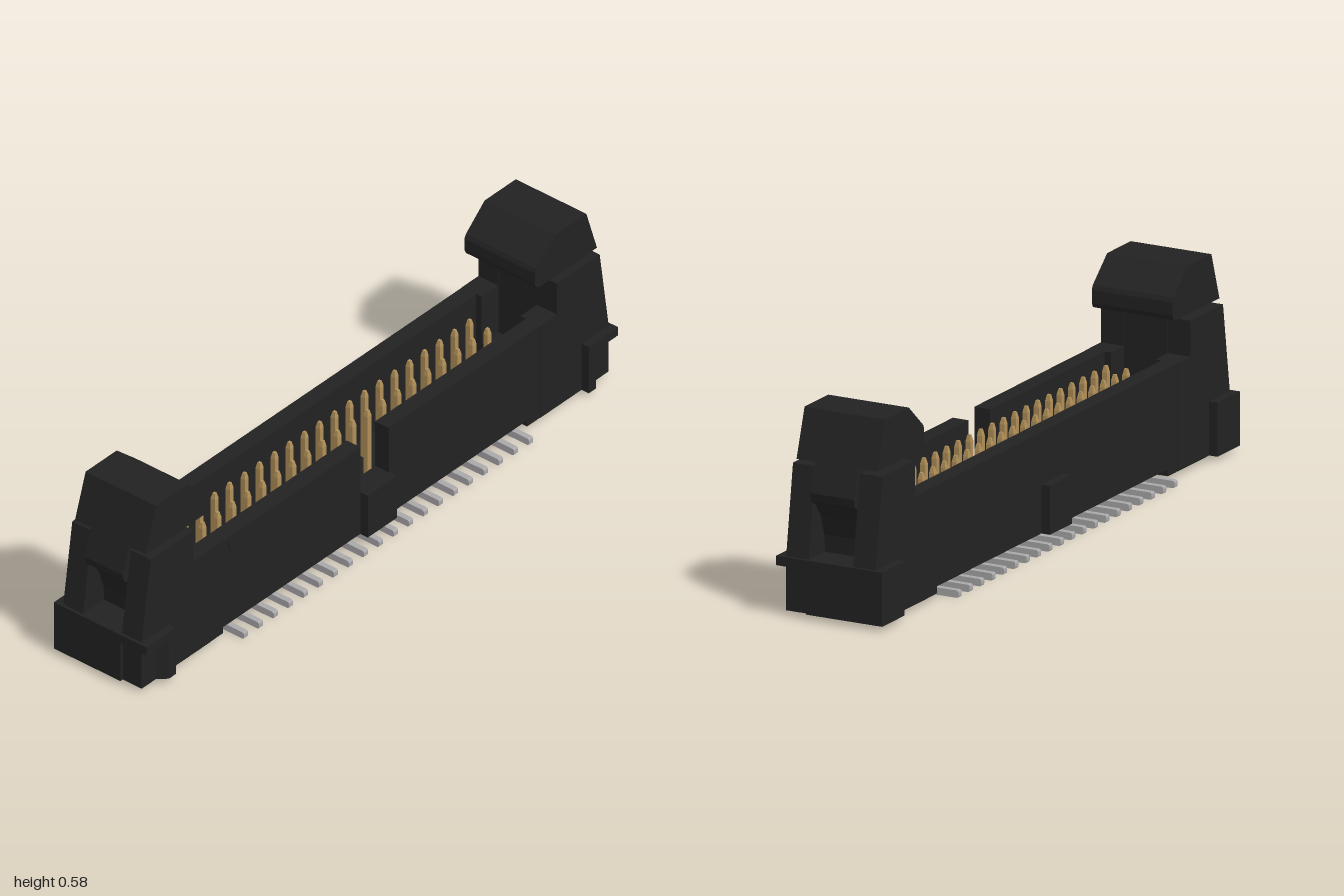
import * as THREE from 'three';

const black = new THREE.MeshStandardMaterial({ color: 0x222222 });
black.name = 'black plastic';
const gold = new THREE.MeshStandardMaterial({ color: 0xb08f58 });
gold.name = 'gold';
const tin = new THREE.MeshStandardMaterial({ color: 0xaaa8aa });
tin.name = 'tin';

export function createModel() {
  const model = new THREE.Group();
  model.name = 'latchedPinHeader';

  const add = (parent, name, geometry, material) => {
    const mesh = new THREE.Mesh(geometry, material);
    mesh.name = name;
    parent.add(mesh);
    return mesh;
  };
  const box = (parent, name, x0, x1, y0, y1, z0, z1, material = black) => {
    const g = new THREE.BoxGeometry(x1 - x0, y1 - y0, z1 - z0);
    g.translate((x0 + x1) / 2, (y0 + y1) / 2, (z0 + z1) / 2);
    return add(parent, name, g, material);
  };
  const extrude = (points, depth) => new THREE.ExtrudeGeometry(
    new THREE.Shape(points.map(([x, y]) => new THREE.Vector2(x, y))),
    { depth, bevelEnabled: false });
  // Side profile (x, y) extruded from z0 to z1
  const profile = (points, s, z0, z1) =>
    extrude(points.map(([x, y]) => [s * x, y]), z1 - z0).translate(0, 0, z0);
  // Plan outline (x, z) extruded from y0 to y1
  const plan = (points, s, y0, y1) =>
    extrude(points.map(([x, z]) => [s * x, -z]), y1 - y0).rotateX(-Math.PI / 2).translate(0, y0, 0);

  // Shrouded housing with the polarising slot in the front wall
  const housing = new THREE.Group();
  housing.name = 'housing';
  model.add(housing);
  box(housing, 'floor', -0.7, 0.7, 0.035, 0.1, -0.09, 0.09);
  box(housing, 'backWall', -0.7, 0.7, 0.035, 0.325, -0.14, -0.09);
  box(housing, 'frontWallLower', -0.7, 0.7, 0.035, 0.175, 0.09, 0.14);
  box(housing, 'frontWallUpper', -0.7, -0.06, 0.175, 0.325, 0.09, 0.14);
  box(housing, 'frontWallUpper', 0.06, 0.7, 0.175, 0.325, 0.09, 0.14);
  box(housing, 'frontKey', -0.062, 0.062, 0.035, 0.175, 0.14, 0.167);
  box(housing, 'backKey', -0.062, 0.062, 0.035, 0.175, -0.167, -0.14);
  add(housing, 'firstPinMark',
    profile([[-0.63, 0.32], [-0.61, 0.265], [-0.59, 0.32]], 1, 0.14, 0.142), black);

  // End towers, feet and latches
  const cheek = [[0.7, 0.015], [0.99, 0.015], [0.99, 0.17], [0.952, 0.428],
    [0.77, 0.428], [0.77, 0.325], [0.7, 0.325]];
  const arm = [[0.77, 0.16], [0.9, 0.16], [0.905, 0.22], [0.925, 0.28], [0.955, 0.32],
    [0.978, 0.335], [0.985, 0.36], [0.957, 0.445], [0.77, 0.445]];
  const head = [[0.77, 0.442], [0.957, 0.442], [0.912, 0.58], [0.78, 0.58], [0.7, 0.51],
    [0.694, 0.497], [0.694, 0.46], [0.7, 0.447], [0.712, 0.442]];
  const foot = [[0.875, -0.167], [1, -0.167], [1, 0.073], [0.98, 0.073], [0.98, 0.09],
    [0.905, 0.167], [0.875, 0.167]];
  for (const s of [-1, 1]) {
    const end = new THREE.Group();
    end.name = s > 0 ? 'leftEnd' : 'rightEnd';
    model.add(end);
    const span = (name, a, b, ...rest) => box(end, name, Math.min(s * a, s * b), Math.max(s * a, s * b), ...rest);
    add(end, 'frontCheek', profile(cheek, s, 0.07, 0.141), black);
    add(end, 'backCheek', profile(cheek, s, -0.141, -0.07), black);
    span('slotFloor', 0.7, 0.99, 0.015, 0.17, -0.07, 0.07);
    span('standoff', 0.645, 0.7, 0.015, 0.036, -0.14, 0.14);
    add(end, 'footLower', plan(foot, s, 0.015, 0.143), black);
    span('footUpper', 0.875, 1, 0.143, 0.17, -0.167, 0.167);
    add(end, 'latchArm', profile(arm, s, -0.069, 0.069), black);
    add(end, 'latchHead', profile(head, s, -0.127, 0.127), black);
  }

  // Pins: square posts with tapered tips, and bent solder tails below
  const post = new THREE.BoxGeometry(0.016, 0.21, 0.016).translate(0, 0.195, 0);
  const tip = new THREE.CylinderGeometry(0.006, 0.016 / Math.SQRT2, 0.018, 4, 1)
    .rotateY(Math.PI / 4).translate(0, 0.309, 0).toNonIndexed();
  tip.computeVertexNormals();

  const tailShape = (s) => {
    const p = new THREE.Shape();
    p.moveTo(s * 0.028, 0.04);
    p.lineTo(s * 0.028, 0.018);
    p.quadraticCurveTo(s * 0.042, 0.001, s * 0.065, 0);
    p.lineTo(s * 0.182, 0);
    p.quadraticCurveTo(s * 0.189, 0, s * 0.189, 0.007);
    p.lineTo(s * 0.189, 0.014);
    p.quadraticCurveTo(s * 0.189, 0.021, s * 0.182, 0.021);
    p.lineTo(s * 0.07, 0.021);
    p.quadraticCurveTo(s * 0.05, 0.022, s * 0.046, 0.04);
    return p;
  };
  for (const s of [-1, 1]) {
    // Shape x runs along z after the turn
    const tail = new THREE.ExtrudeGeometry(tailShape(-s), { depth: 0.018, bevelEnabled: false, curveSegments: 5 })
      .translate(0, 0, -0.009).rotateY(Math.PI / 2);
    const row = new THREE.Group();
    row.name = s > 0 ? 'frontContacts' : 'backContacts';
    model.add(row);
    for (let i = 0; i < 20; i++) {
      const x = (i - 9.5) * 0.0636;
      add(row, 'pin', post, gold).position.set(x, 0, s * 0.032);
      add(row, 'pinTip', tip, gold).position.set(x, 0, s * 0.032);
      add(row, 'solderTail', tail, tin).position.x = x;
    }
  }
  return model;
}
